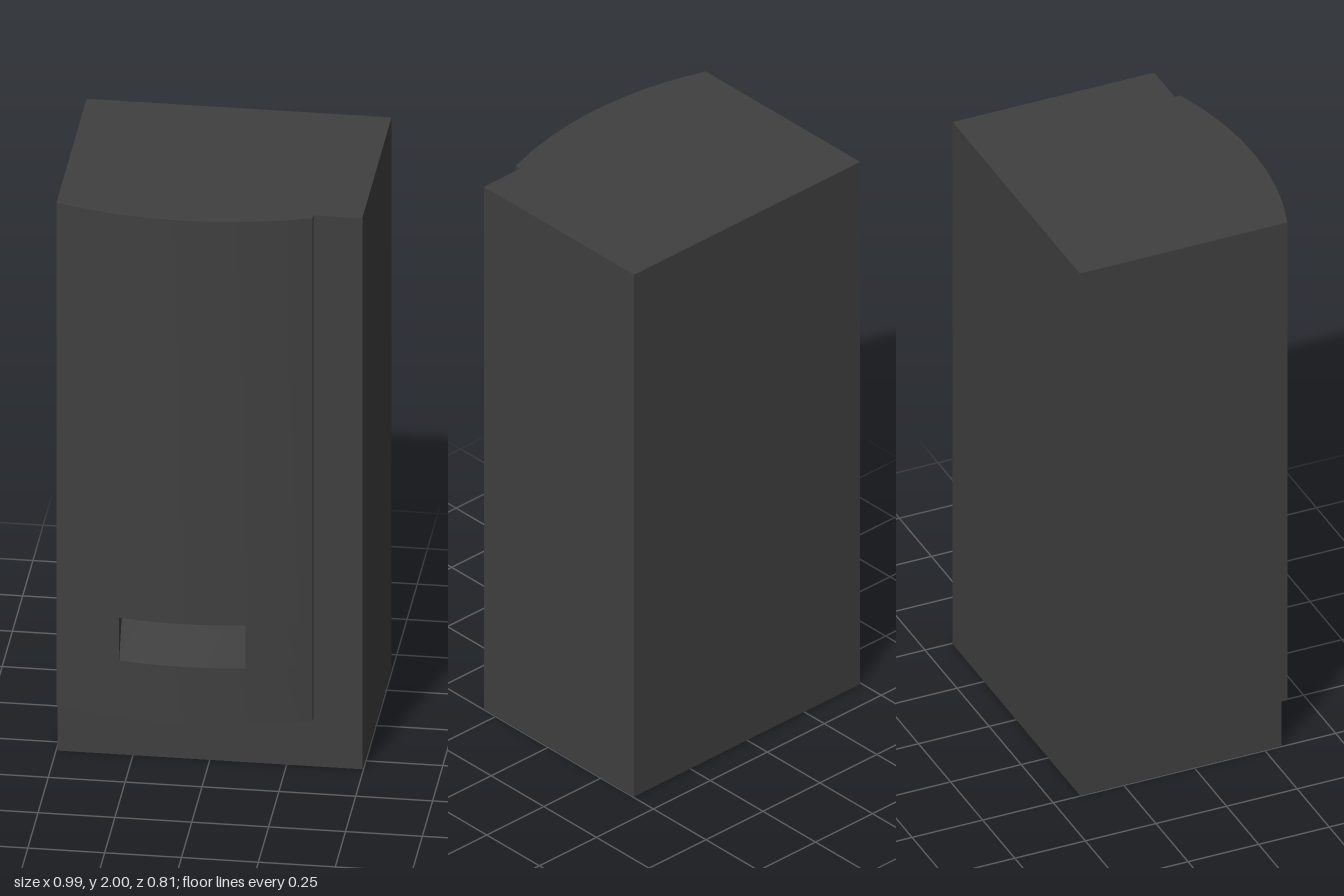
import * as THREE from 'three';
import { toCreasedNormals } from 'three/addons/utils/BufferGeometryUtils.js';

const material = new THREE.MeshStandardMaterial({ color: 0x404040 });

// Cabinet and door dimensions
const HALF_W = 0.496, BACK = -0.404, FACE = 0.31;
const DOOR_X = -0.0795, DOOR_BOTTOM = 0.175, TOP = 2;
const RADIUS = 1.24, APEX = 0.403;
const GRIP_BOTTOM = 0.38, GRIP_TOP = 0.535;

// Break points across the bowed door, measured from its centre line
const columns = [-0.4165, -0.31, -0.205, -0.1025, 0, 0.1025, 0.205, 0.31, 0.4165];
const bow = x => APEX - RADIUS + Math.sqrt(RADIUS * RADIUS - x * x);

// Upright slab of the bowed door covering the given columns between two heights
function doorPiece(name, xs, y0, y1) {
  const shape = new THREE.Shape();
  shape.moveTo(xs[0], -FACE);
  xs.forEach(x => shape.lineTo(x, -bow(x)));
  shape.lineTo(xs[xs.length - 1], -FACE);
  shape.closePath();
  const geometry = new THREE.ExtrudeGeometry(shape, { depth: y1 - y0, bevelEnabled: false });
  geometry.rotateX(-Math.PI / 2).translate(0, y0, 0);
  const mesh = new THREE.Mesh(toCreasedNormals(geometry, 0.3), material);
  mesh.name = name;
  return mesh;
}

export function createModel() {
  const model = new THREE.Group();
  model.name = 'cabinet';

  // Plain box body
  const body = new THREE.Mesh(new THREE.BoxGeometry(HALF_W * 2, TOP, FACE - BACK), material);
  body.name = 'body';
  body.position.set(0, TOP / 2, (FACE + BACK) / 2);
  model.add(body);

  // Bowed door, built around the opening of the grip recess
  const door = new THREE.Group();
  door.name = 'door';
  door.position.x = DOOR_X;
  door.add(
    doorPiece('doorUpper', columns, GRIP_TOP, TOP),
    doorPiece('doorLower', columns, DOOR_BOTTOM, GRIP_BOTTOM),
    doorPiece('doorBesideGripRight', columns.slice(0, 3), GRIP_BOTTOM, GRIP_TOP),
    doorPiece('doorBesideGripLeft', columns.slice(6), GRIP_BOTTOM, GRIP_TOP)
  );

  // Sloping recess floor: flush at its lower edge, deepest at the top
  const slope = new THREE.PlaneGeometry(0.41, GRIP_TOP - GRIP_BOTTOM, 4, 1);
  const p = slope.attributes.position;
  for (let i = 0; i < p.count; i++) {
    p.setZ(i, p.getY(i) < 0 ? bow(p.getX(i)) : FACE + 0.001);
  }
  slope.translate(0, (GRIP_TOP + GRIP_BOTTOM) / 2, 0);
  slope.computeVertexNormals();
  const grip = new THREE.Mesh(slope, material);
  grip.name = 'gripRecess';
  door.add(grip);

  model.add(door);
  return model;
}
